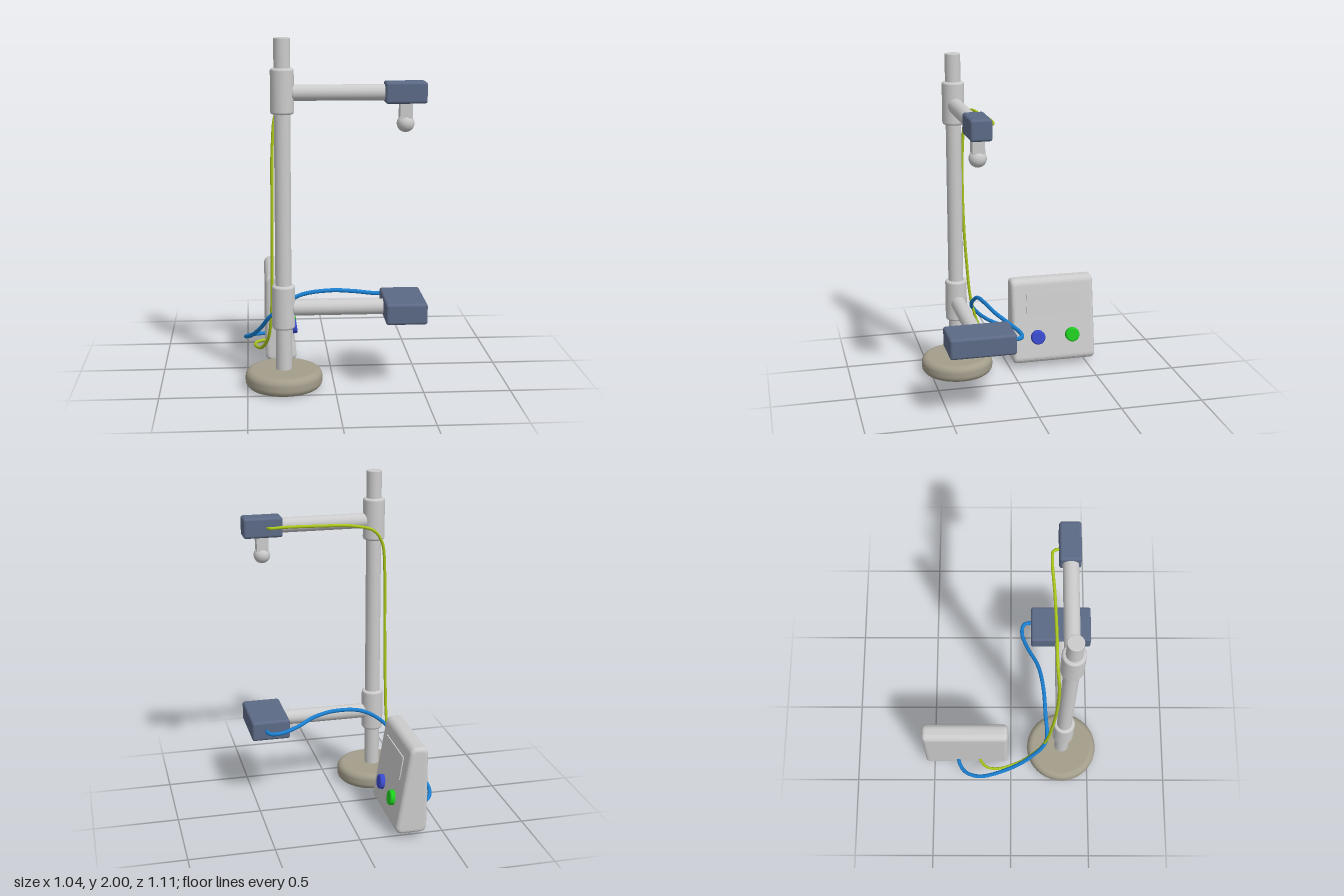
import * as THREE from 'three';
import { RoundedBoxGeometry } from 'three/addons/geometries/RoundedBoxGeometry.js';

const mat = (color) => new THREE.MeshStandardMaterial({ color });
const GREY = mat(0xcccccc), SLATE = mat(0x5c6a86), STONE = mat(0xa39d8b);
const BLUE = mat(0x1a7fd0), LIME = mat(0xa9c61c);
const POLE_X = -0.29, POLE_Z = 0.33;

// Upright cylinder with rounded rims, standing on y = 0
function roundedCylinder(radius, height, rim) {
  const pts = [new THREE.Vector2(0, 0)];
  const steps = 6;
  for (const [cy, from] of [[rim, -Math.PI / 2], [height - rim, 0]]) {
    for (let i = 0; i <= steps; i++) {
      const a = from + (i / steps) * Math.PI / 2;
      pts.push(new THREE.Vector2(radius - rim + rim * Math.cos(a), cy + rim * Math.sin(a)));
    }
  }
  pts.push(new THREE.Vector2(0, height));
  return new THREE.LatheGeometry(pts, 48);
}

export function createModel() {
  const model = new THREE.Group();
  model.name = 'timingStand';

  const add = (name, geometry, material, x = 0, y = 0, z = 0, parent = model) => {
    const mesh = new THREE.Mesh(geometry, material);
    mesh.name = name;
    mesh.position.set(x, y, z);
    parent.add(mesh);
    return mesh;
  };
  const cable = (name, points, radius, material) => {
    const curve = new THREE.CatmullRomCurve3(points.map((p) => new THREE.Vector3(...p)));
    add(name, new THREE.TubeGeometry(curve, 140, radius, 12), material);
  };

  // Base and pole
  add('base', roundedCylinder(0.222, 0.105, 0.04), STONE, POLE_X, 0, POLE_Z);
  add('pole', roundedCylinder(0.046, 1.95, 0.004), GREY, POLE_X, 0.05, POLE_Z);

  // Two clamps, each with an arm and an end block
  for (const [prefix, y, depth, z] of [['upper', 1.697, 0.122, 0.325], ['lower', 0.465, 0.385, 0.322]]) {
    add(prefix + 'Collar', roundedCylinder(0.066, 0.256, 0.015), GREY, POLE_X, y - 0.118, POLE_Z);
    const arm = add(prefix + 'Arm', roundedCylinder(0.045, 0.56, 0.012), GREY, -0.24, y, 0.327);
    arm.rotation.z = -Math.PI / 2;
    add(prefix + 'Block', new RoundedBoxGeometry(0.235, 0.122, depth, 4, 0.016), SLATE, 0.398, y, z);
  }

  // Ball held under the upper block
  add('ballHolder', new THREE.BoxGeometry(0.07, 0.1, 0.07), GREY, 0.4, 1.6, 0.325);
  add('ball', new THREE.SphereGeometry(0.05, 32, 20), GREY, 0.4, 1.523, 0.325);

  // Timer case: wedge profile with a sloping face, rounded by the bevel
  const timer = new THREE.Group();
  timer.name = 'timer';
  model.add(timer);
  const bevel = 0.025;
  const profile = new THREE.Shape([
    [-0.39 + bevel, 0.03 + bevel], [-0.201 - bevel, 0.03 + bevel],
    [-0.282 - bevel, 0.565 - bevel], [-0.39 + bevel, 0.565 - bevel],
  ].map(([x, y]) => new THREE.Vector2(x, y)));
  // Round the bevel corners by sweeping a small arc around each profile corner
  const outline = new THREE.Shape();
  const corners = profile.getPoints();
  const tiny = 0.018;
  corners.forEach((c, i) => {
    const prev = corners[(i + 3) % 4], next = corners[(i + 1) % 4];
    const a = c.clone().add(prev.clone().sub(c).setLength(tiny));
    const b = c.clone().add(next.clone().sub(c).setLength(tiny));
    if (i === 0) outline.moveTo(a.x, a.y); else outline.lineTo(a.x, a.y);
    outline.quadraticCurveTo(c.x, c.y, b.x, b.y);
  });
  outline.closePath();
  add('timerCase', new THREE.ExtrudeGeometry(outline, {
    depth: 0.535 - 2 * bevel, bevelThickness: bevel, bevelSize: bevel, bevelSegments: 5, curveSegments: 6,
  }), GREY, 0, 0, -0.553 + bevel, timer);

  // Face parts share a group tilted so its local +x is the face normal
  const face = new THREE.Group();
  face.name = 'timerFace';
  face.position.set(-0.2255, 0.2, -0.285);
  face.rotation.z = Math.atan(0.081 / 0.535);
  timer.add(face);
  add('display', new THREE.BoxGeometry(0.008, 0.142, 0.345), GREY, 0, 0.208, 0, face);
  for (const [name, z, color] of [['resetButton', 0.107, 0x3a4acc], ['startButton', -0.117, 0x1fcc1f]]) {
    const button = add(name, roundedCylinder(0.045, 0.045, 0.01), mat(color), -0.015, 0, z, face);
    button.rotation.z = -Math.PI / 2;
  }

  // Cables from the back of the timer to the two blocks
  cable('lowerCable', [
    [-0.37, 0.11, -0.34], [-0.41, 0.11, -0.335], [-0.475, 0.115, -0.295], [-0.51, 0.135, -0.2],
    [-0.473, 0.205, 0], [-0.42, 0.29, 0.13], [-0.35, 0.4, 0.222], [-0.2, 0.505, 0.217],
    [-0.02, 0.53, 0.202], [0.12, 0.515, 0.17], [0.24, 0.485, 0.11], [0.35, 0.468, 0.072],
    [0.415, 0.465, 0.085], [0.43, 0.465, 0.15],
  ], 0.012, BLUE);
  cable('upperCable', [
    [-0.37, 0.11, -0.2], [-0.4, 0.11, -0.195], [-0.445, 0.112, -0.15], [-0.452, 0.117, -0.07],
    [-0.415, 0.145, 0.06], [-0.375, 0.24, 0.16], [-0.357, 0.42, 0.22], [-0.352, 0.7, 0.25],
    [-0.35, 1.05, 0.268], [-0.345, 1.4, 0.268], [-0.325, 1.57, 0.258], [-0.27, 1.65, 0.25],
    [-0.15, 1.685, 0.247], [0.1, 1.7, 0.238], [0.3, 1.705, 0.226], [0.36, 1.7, 0.233],
    [0.375, 1.695, 0.28],
  ], 0.009, LIME);

  return model;
}
